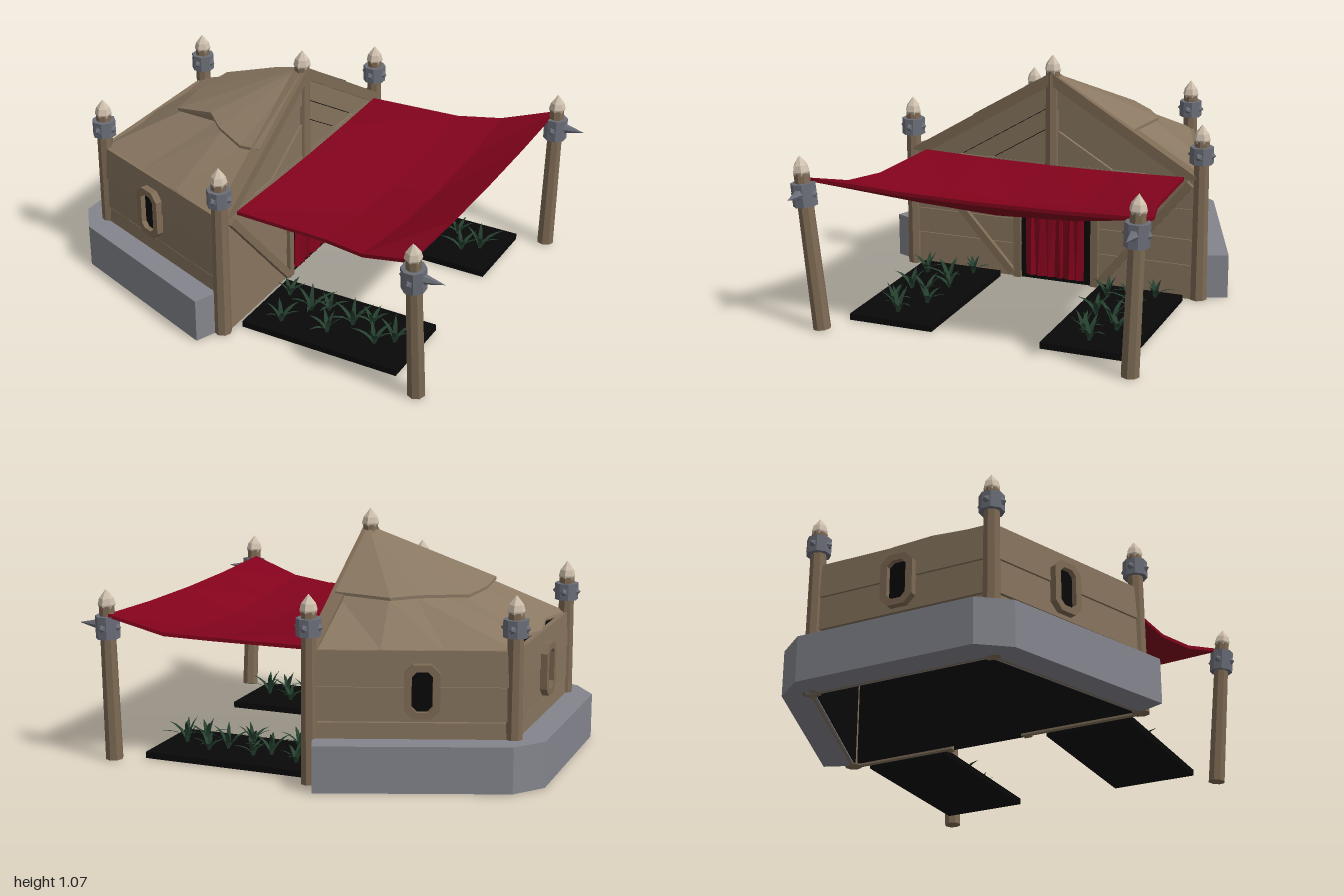
import * as THREE from 'three';
import { mergeGeometries } from 'three/addons/utils/BufferGeometryUtils.js';

const mat = (name, color) => {
  const m = new THREE.MeshStandardMaterial({ color, flatShading: true, side: THREE.DoubleSide });
  m.name = name;
  return m;
};

export function createModel() {
  const wood = mat('wallWood', 0x85735d), timber = mat('timber', 0x7d6a54), roofMat = mat('roofHide', 0x8a7862);
  const stone = mat('stone', 0x84858d), iron = mat('iron', 0x6b6e78), bone = mat('bone', 0xd0c1ae);
  const red = mat('redCloth', 0x82031c), black = mat('darkInterior', 0x080808), green = mat('leafGreen', 0x25402f);

  const root = new THREE.Group();
  root.name = 'tradingHut';
  const add = (parent, name, geo, material, x = 0, y = 0, z = 0) => {
    const m = new THREE.Mesh(geo, material);
    m.name = name;
    m.position.set(x, y, z);
    parent.add(m);
    return m;
  };
  const box = (p, name, material, w, h, d, x, y, z) => add(p, name, new THREE.BoxGeometry(w, h, d), material, x, y, z);
  const polygon = pts => new THREE.Shape(pts.map(p => new THREE.Vector2(p[0], p[1])));
  const extrude = (shape, depth) => new THREE.ExtrudeGeometry(shape, { depth, bevelEnabled: false });

  // Stone footing wrapped round the back and sides
  const half = [[-1, 0.4], [-0.9, 0.53], [-0.13, 0.82], [-0.09, 0.72], [-0.1, 0.68], [-0.85, 0.4]];
  const ring = [...half, ...half.map(([x, z]) => [x, -z]).reverse()];
  const footing = extrude(polygon(ring), 0.2);
  footing.rotateX(Math.PI / 2);
  add(root, 'stoneFooting', footing, stone, 0, 0.2, 0);

  // Local frame of a wall: +x runs from a to b, +z points outward
  const wallGroup = (name, a, b) => {
    const g = new THREE.Group(), dx = b[0] - a[0], dz = b[1] - a[1];
    g.name = name;
    g.position.set((a[0] + b[0]) / 2, 0, (a[1] + b[1]) / 2);
    g.rotation.y = Math.atan2(-dz, dx);
    g.userData.length = Math.hypot(dx, dz);
    root.add(g);
    return g;
  };
  const board = (g, x0, x1, y0, y1, tilt = 0.03) => {
    const m = box(g, 'board', wood, x1 - x0, y1 - y0, 0.025, (x0 + x1) / 2, (y0 + y1) / 2, 0.008);
    m.rotation.x = -tilt;
  };

  // Octagonal window frame and dark opening
  const octagon = (w, h, c) => [[-w + c, -h], [w - c, -h], [w, -h + c], [w, h - c], [w - c, h], [-w + c, h], [-w, h - c], [-w, -h + c]];
  const addWindow = (g, x) => {
    const frame = polygon(octagon(0.074, 0.114, 0.036));
    frame.holes.push(new THREE.Path(polygon(octagon(0.043, 0.086, 0.021)).getPoints()));
    add(g, 'windowFrame', extrude(frame, 0.04), timber, x, 0.408, 0.012);
    add(g, 'windowOpening', new THREE.ShapeGeometry(polygon(octagon(0.045, 0.089, 0.021))), black, x, 0.408, 0.028);
  };

  // Side and back walls of planks, lined with a dark interior
  const walls = [
    ['leftWall', [-0.86, 0.41], [-0.07, 0.7], -0.045],
    ['rightWall', [-0.07, -0.7], [-0.86, -0.41], 0.045],
    ['backWall', [-0.86, -0.41], [-0.86, 0.41], 0],
  ];
  for (const [name, a, b, wx] of walls) {
    const g = wallGroup(name, a, b), l = g.userData.length / 2;
    [[0, 0.133], [0.133, 0.268], [0.275, 0.42], [0.423, 0.575]].forEach(([y0, y1], i) => board(g, -l, l, y0, y1, i % 2 ? 0.05 : 0.02));
    box(g, 'wallLining', black, l * 2, 0.56, 0.008, 0, 0.285, -0.013);
    addWindow(g, wx);
  }

  // Front wall: planks beside and above the doorway (local x is -z)
  const front = wallGroup('frontWall', [-0.07, 0.7], [-0.07, -0.7]);
  const doorX = 0.025;
  for (const [y0, y1] of [[0, 0.156], [0.16, 0.276], [0.28, 0.417]]) {
    board(front, -0.7, doorX - 0.17, y0, y1);
    board(front, doorX + 0.17, 0.7, y0, y1);
  }
  board(front, -0.7, 0.7, 0.42, 0.56);
  box(front, 'frontLining', black, 1.38, 0.56, 0.008, 0, 0.285, -0.014);

  // Gable of nested sloping planks under the rafters
  const slope = 0.6, sill = 0.56;
  const chevron = (top, low) => {
    const a = (top - sill) / slope, b = (low - sill) / slope;
    return b <= 0 ? polygon([[-a, sill], [a, sill], [0, top]])
      : polygon([[-a, sill], [-b, sill], [0, low], [b, sill], [a, sill], [0, top]]);
  };
  [[0.985, 0.928], [0.928, 0.832], [0.828, 0.737], [0.733, 0.56]].forEach(([t, l], i) =>
    add(front, i ? 'gablePlank' : 'rafters', extrude(chevron(t, l), i ? 0.02 : 0.06), i ? wood : timber, 0, 0, i ? -0.012 + (i % 2) * 0.008 : -0.03));
  add(front, 'gableLining', new THREE.ShapeGeometry(chevron(0.96, 0)), black, 0, 0, -0.014);

  // Doorway with chamfered frame and pleated curtain
  const arch = (w, h, c) => [[-w, 0], [w, 0], [w, h - c], [w - c, h], [-w + c, h], [-w, h - c]];
  const o = arch(0.207, 0.455, 0.06), n = arch(0.172, 0.42, 0.04);
  add(front, 'doorFrame', extrude(polygon([o[0], o[5], o[4], o[3], o[2], o[1], n[1], n[2], n[3], n[4], n[5], n[0]]), 0.038), timber, doorX, 0, 0);
  add(front, 'doorOpening', new THREE.ShapeGeometry(polygon(n)), black, doorX, 0, 0.022);
  const curtain = new THREE.PlaneGeometry(0.285, 0.4, 12, 1), cp = curtain.attributes.position;
  for (let i = 0; i < cp.count; i++) {
    const low = cp.getY(i) < 0, col = i % 13;
    cp.setZ(i, (col % 2 ? 0.008 : -0.006) * (low ? 1.2 : 0.5));
    if (col > 0 && col < 12) cp.setX(i, cp.getX(i) + 0.01 * Math.sin(i * 2.3));
  }
  add(front, 'doorCurtain', curtain, red, doorX - 0.005, 0.22, 0.033);

  // Diagonal braces
  for (const [x0, x1] of [[-0.66, -0.19], [0.66, 0.235]]) {
    const dx = x1 - x0, dy = -0.52;
    const m = box(front, 'diagonalBrace', timber, Math.hypot(dx, dy), 0.035, 0.025, (x0 + x1) / 2, 0.28, 0.03);
    m.rotation.z = Math.atan2(dy, dx);
  }

  // Roof: hide lofted from the eave to an overlapping cap and up to the apex
  const eave = [[-0.06, 0.565, 0.7], [-0.35, 0.578, 0.61], [-0.6, 0.567, 0.515], [-0.865, 0.575, 0.41], [-0.83, 0.59, 0.18], [-0.865, 0.575, 0],
    [-0.83, 0.59, -0.18], [-0.865, 0.575, -0.41], [-0.6, 0.567, -0.515], [-0.35, 0.578, -0.61], [-0.06, 0.565, -0.7]];
  const cap = [[-0.06, 0.755, 0.39], [-0.16, 0.745, 0.385], [-0.3, 0.775, 0.33], [-0.38, 0.8, 0.27], [-0.59, 0.75, 0.22], [-0.615, 0.75, 0],
    [-0.6, 0.75, -0.21], [-0.52, 0.755, -0.27], [-0.42, 0.76, -0.35], [-0.32, 0.755, -0.42], [-0.06, 0.757, -0.39]];
  const moved = (r, s, dy) => r.map(([x, y, z]) => [-0.06 + (x + 0.06) * s, y + dy, z * s]);
  const loft = rings => {
    const v = [];
    for (let r = 0; r + 1 < rings.length; r++) for (let i = 0; i + 1 < rings[r].length; i++) {
      const a = rings[r][i], b = rings[r][i + 1], c = rings[r + 1][i + 1], d = rings[r + 1][i];
      v.push(...a, ...c, ...b, ...a, ...d, ...c);
    }
    const g = new THREE.BufferGeometry();
    g.setAttribute('position', new THREE.Float32BufferAttribute(v, 3));
    g.computeVertexNormals();
    return g;
  };
  const under = moved(cap, 0.96, -0.012).map(([x, y, z]) => [x, Math.min(y, 0.755), z]);
  add(root, 'lowerRoof', loft([moved(eave, 0.96, -0.03), moved(eave, 1.005, -0.012), eave, under]), roofMat);
  const apex = cap.map(() => [-0.06, 0.985, 0]);
  add(root, 'upperRoof', loft([under, moved(cap, 1, -0.013), cap, apex]), roofMat);
  const ceiling = new THREE.ShapeGeometry(polygon([[-0.07, 0.68], [-0.82, 0.39], [-0.82, -0.39], [-0.07, -0.68]]));
  ceiling.rotateX(Math.PI / 2);
  add(root, 'ceiling', ceiling, black, 0, 0.54, 0);

  // Posts with carved bone tips and studded iron collars
  const tipGeo = new THREE.LatheGeometry([[0.032, 0], [0.038, 0.018], [0.031, 0.045], [0, 0.085]].map(p => new THREE.Vector2(...p)), 6);
  const post = (name, x, z, y0, top, collarY, collarH) => {
    const g = new THREE.Group();
    g.name = name;
    g.position.set(x, 0, z);
    root.add(g);
    add(g, 'shaft', new THREE.CylinderGeometry(0.034, 0.039, top - y0, 8), timber, 0, (top + y0) / 2, 0);
    add(g, 'boneTip', tipGeo, bone, 0, top - 0.012, 0);
    if (!collarY) return g;
    add(g, 'ironCollar', new THREE.CylinderGeometry(0.053, 0.053, collarH, 8), iron, 0, collarY, 0).rotation.y = Math.PI / 8;
    for (let i = 0; i < 4; i++) {
      const a = i * Math.PI / 2, stud = add(g, 'stud', new THREE.ConeGeometry(0.02, 0.018, 5), iron, Math.cos(a) * 0.056, collarY, -Math.sin(a) * 0.056);
      stud.rotation.set(0, a, -Math.PI / 2, 'YXZ');
    }
    return g;
  };
  post('kingPost', -0.07, 0, 0.45, 0.99);
  for (const s of [1, -1]) {
    post('frontPost', -0.07, s * 0.7, 0, 0.735, 0.67, 0.075);
    post('backPost', -0.865, s * 0.41, 0, 0.735, 0.67, 0.075);
    // Awning post leans outward and carries a long spike
    const p = post('awningPost', 0.863, s * 0.695, 0, 0.69, 0.597, 0.1);
    p.rotation.x = s > 0 ? 0.1 : -0.035;
    add(p, 'longSpike', new THREE.ConeGeometry(0.024, 0.1, 6), iron, 0.087, 0.605, 0).rotation.z = -Math.PI / 2;
  }

  // Sagging awning: [x, half width, edge height, middle height]
  const stations = [[-0.035, 0.625, 0.562, 0.55], [0.4, 0.645, 0.565, 0.505], [0.6, 0.695, 0.58, 0.518], [0.84, 0.745, 0.652, 0.632]];
  const awning = new THREE.BoxGeometry(3, 0.016, 2, 3, 1, 4), ap = awning.attributes.position;
  for (let i = 0; i < ap.count; i++) {
    const [x, w, e, m] = stations[Math.round(ap.getX(i) + 1.5)], t = ap.getZ(i);
    ap.setXYZ(i, x, m + (e - m) * t * t + ap.getY(i), t * w - 0.006);
  }
  add(root, 'awning', awning, red);

  // Planting beds with clumps of long arching leaves
  const leaf = (len, lean, turn, x, z) => {
    const g = new THREE.PlaneGeometry(1, 1, 1, 4), p = g.attributes.position;
    for (let i = 0; i < p.count; i++) {
      const t = p.getY(i) + 0.5, w = 0.026 * (1 - t) * (0.5 + 2 * t);
      p.setXYZ(i, p.getX(i) * w, len * (t - 0.5 * lean * t * t), len * lean * t * (0.35 + 0.55 * t));
    }
    return g.rotateY(turn).translate(x, 0.026, z);
  };
  for (const s of [1, -1]) {
    const zc = s > 0 ? 0.435 : -0.45;
    box(root, 'plantingBed', black, 0.75, 0.028, 0.39, 0.36, 0.014, zc);
    const leaves = [];
    for (let c = 0; c < 9; c++) {
      const x = 0.06 + c * 0.072, z = zc + [-0.09, 0.09, 0][c % 3] + 0.03 * Math.sin(c * 2.4);
      for (let k = 0; k < 6; k++) leaves.push(leaf(0.1 + 0.02 * ((k * 3 + c) % 3), 0.4 + 0.2 * ((k + c) % 4), k * 1.05 + c * 0.7, x, z));
    }
    add(root, 'leafClumps', mergeGeometries(leaves), green);
  }
  return root;
}
